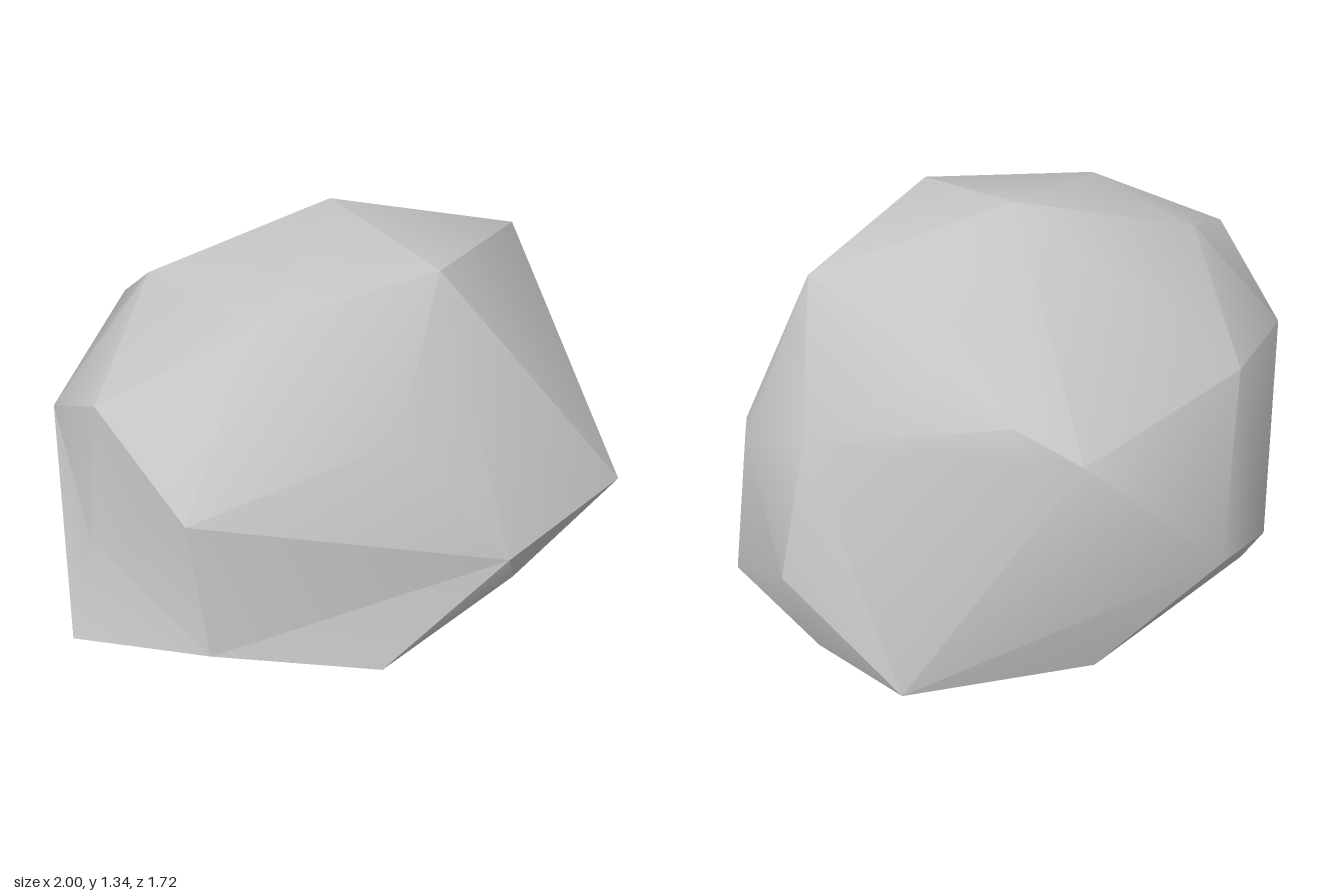
import * as THREE from 'three';
import { ConvexGeometry } from 'three/addons/geometries/ConvexGeometry.js';
import { toCreasedNormals } from 'three/addons/utils/BufferGeometryUtils.js';

// Corners of the boulder, listed in bands from the crown to the underside
const crown = [
  [0.15, 1.34, -0.06], [0.14, 1.295, 0.41], [-0.4, 1.25, 0.2], [-0.39, 1.2, -0.29],
  [0.7, 1.16, 0.23], [-0.8, 1.05, -0.03], [0.6, 1.01, -0.26],
];
const flanks = [
  [-0.23, 0.98, 0.61], [-0.84, 0.91, 0.41], [-0.23, 0.89, -0.66], [0.52, 0.89, -0.51],
  [0.42, 0.81, -0.69], [-0.72, 0.81, -0.39], [0.9, 0.76, -0.01], [0.89, 0.63, 0.37],
  [0.02, 0.53, 0.86], [0.67, 0.43, 0.8], [0.02, 0.41, -0.86], [1, 0.33, 0.01],
];
const base = [
  [-1, 0.28, 0.01], [-0.37, 0.23, 0.72], [0.31, 0.13, 0.68], [0.92, 0.08, 0.48],
  [0.88, 0, 0.04], [0.85, 0.05, -0.38], [0.31, 0.04, -0.63], [-0.35, 0.14, -0.62],
  [-0.47, 0.18, -0.61], [-0.6, 0.2, -0.19],
];
// Corners of the hollow side: joined as bulges, then pushed back in
const hollow = [
  { bulge: [-0.96, 0.6, -0.01], corner: [-0.88, 0.6, -0.01] },
  { bulge: [-0.95, 0.37, 0.5], corner: [-0.79, 0.37, 0.42] },
];

function buildRock() {
  const points = [...crown, ...flanks, ...base, ...hollow.map((h) => h.bulge)];
  const hull = new ConvexGeometry(points.map((p) => new THREE.Vector3(...p)));
  const position = hull.attributes.position;
  const v = new THREE.Vector3();
  const target = new THREE.Vector3();
  for (let i = 0; i < position.count; i++) {
    v.fromBufferAttribute(position, i);
    for (const { bulge, corner } of hollow) {
      if (v.distanceTo(target.set(...bulge)) < 0.01) position.setXYZ(i, ...corner);
    }
  }
  // Shallow edges are rounded, steep ones stay sharp
  return toCreasedNormals(hull, THREE.MathUtils.degToRad(36));
}

export function createModel() {
  const group = new THREE.Group();
  group.name = 'boulder';
  const stone = new THREE.MeshStandardMaterial({ color: 0xc4c4c4 });
  stone.name = 'grey stone';
  const rock = new THREE.Mesh(buildRock(), stone);
  rock.name = 'rock';
  group.add(rock);
  return group;
}
